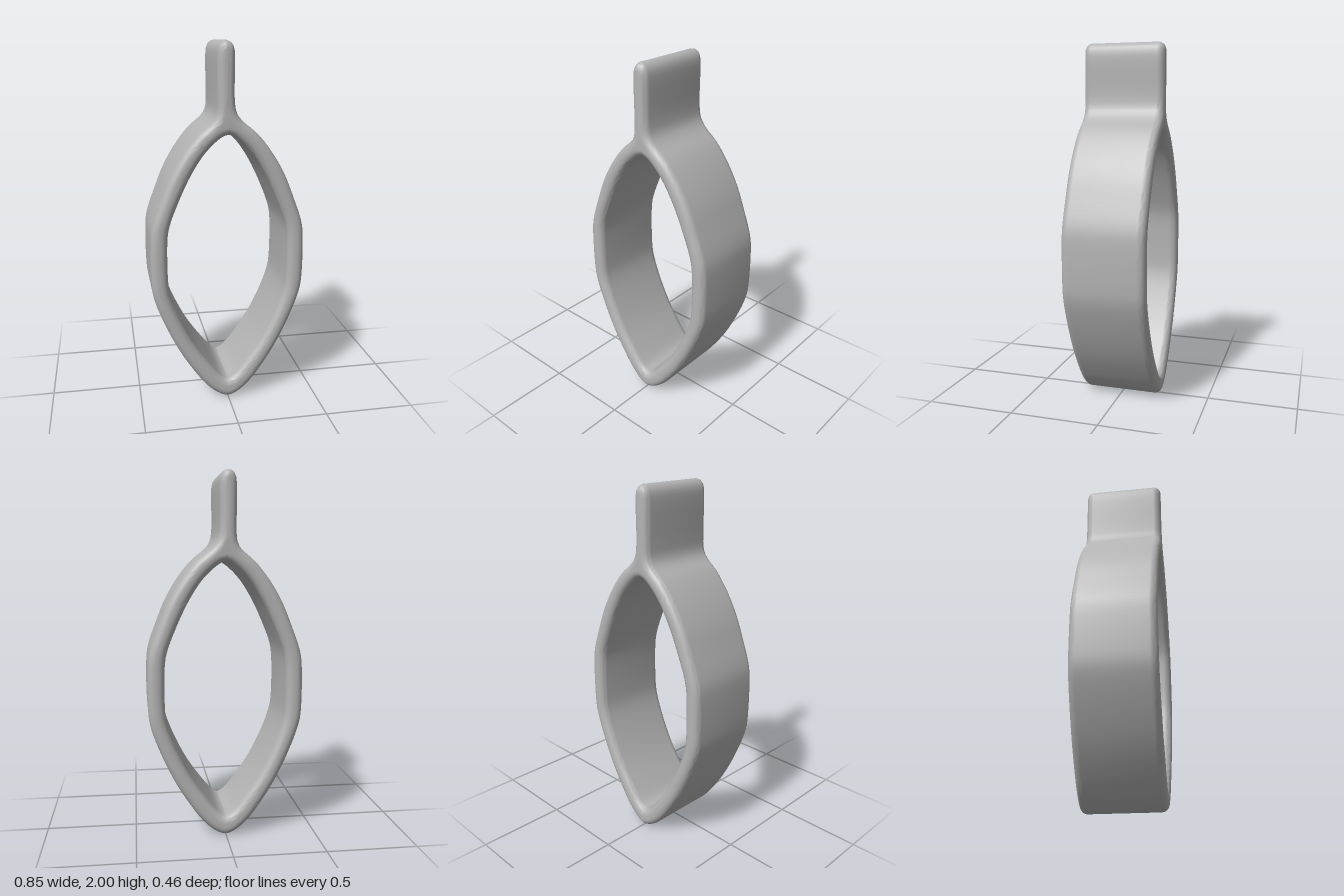
import * as THREE from 'three';
import { toCreasedNormals } from 'three/addons/utils/BufferGeometryUtils.js';

const BEVEL = 0.04, DEPTH = 0.46, TAB_X = -0.012;

// Smooth closed outline from a right-hand half profile, mirrored to the left.
// The tab above the loop sits slightly off centre.
function outline(half, count, tabFrom = Infinity) {
  const shift = (y) => TAB_X * THREE.MathUtils.smoothstep(y, tabFrom - 0.06, tabFrom + 0.06);
  const place = (x, y) => new THREE.Vector3(x + shift(y), y, 0);
  const right = half.map(([x, y]) => place(x, y));
  const left = half.slice(1, -1).reverse().map(([x, y]) => place(-x, y));
  const curve = new THREE.CatmullRomCurve3([...right, ...left], true, 'centripetal');
  return curve.getSpacedPoints(count).slice(0, -1).map((p) => new THREE.Vector2(p.x, p.y));
}

export function createModel() {
  const model = new THREE.Group();
  const grey = new THREE.MeshStandardMaterial({ color: 0xb4b4b4 });
  grey.name = 'grey';

  // Outer edge: pointed loop flowing into the upright tab
  const outer = [
    [0, 0], [0.05, 0.017], [0.12, 0.075], [0.2, 0.18], [0.28, 0.31], [0.36, 0.48],
    [0.41, 0.62], [0.422, 0.69], [0.422, 0.97], [0.41, 1.04], [0.36, 1.18],
    [0.31, 1.3], [0.24, 1.42], [0.16, 1.52], [0.075, 1.595], [0.053, 1.635], [0.046, 1.7],
    [0.046, 1.93], [0.04, 1.968], [0.023, 1.992], [0, 2],
  ];
  // Inner edge of the opening
  const inner = [
    [0, 0.108], [0.035, 0.127], [0.12, 0.23], [0.2, 0.35], [0.28, 0.515], [0.32, 0.63],
    [0.331, 0.7], [0.331, 0.96], [0.32, 1.03], [0.28, 1.14], [0.2, 1.31],
    [0.12, 1.43], [0.035, 1.507], [0, 1.52],
  ];

  // Loop and tab as one body with rounded rims
  const shape = new THREE.Shape(outline(outer, 200, 1.62));
  shape.holes.push(new THREE.Path(outline(inner, 130)));
  const body = new THREE.ExtrudeGeometry(shape, {
    depth: DEPTH - 2 * BEVEL, steps: 1, bevelEnabled: true, bevelSegments: 6,
    bevelSize: BEVEL, bevelThickness: BEVEL, bevelOffset: -BEVEL,
  });
  body.translate(0, 0, BEVEL - DEPTH / 2);

  const mesh = new THREE.Mesh(toCreasedNormals(body, Math.PI / 4), grey);
  mesh.name = 'loopWithTab';
  model.add(mesh);
  return model;
}
